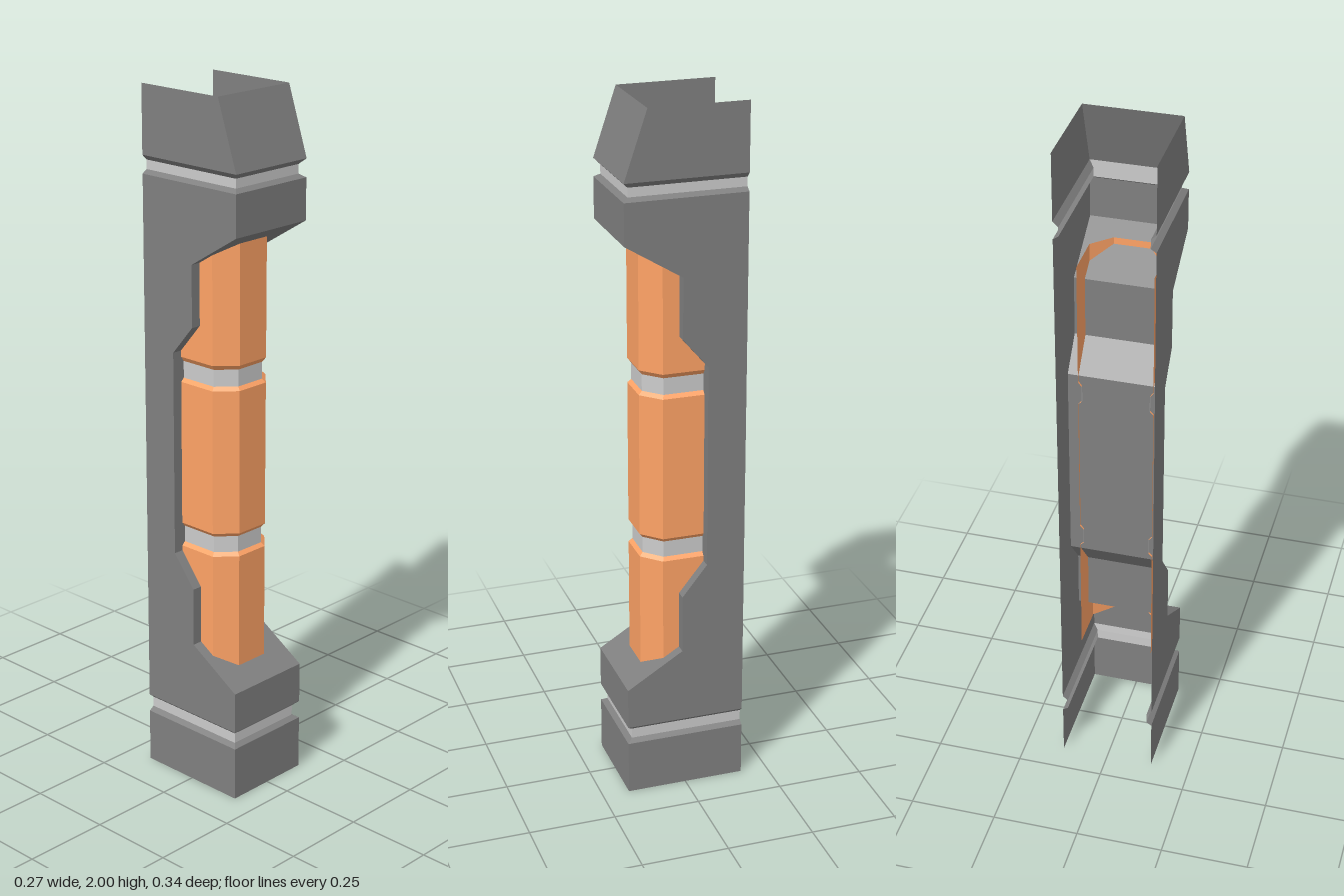
import * as THREE from 'three';

const material = (color) =>
  new THREE.MeshStandardMaterial({ color, flatShading: true, side: THREE.DoubleSide });

// Joins open cross-sections (arrays of [x, z], left to right round the front)
// stacked at the given heights into a faceted skin.
function skin(name, rows, mat) {
  const pos = [];
  for (let i = 0; i < rows.length - 1; i++) {
    const low = rows[i], high = rows[i + 1];
    for (let j = 0; j < low.pts.length - 1; j++) {
      const at = (row, k) => [row.pts[k][0], row.y, row.pts[k][1]];
      const a = at(low, j), b = at(low, j + 1), c = at(high, j + 1), d = at(high, j);
      pos.push(...a, ...b, ...c, ...a, ...c, ...d);
    }
  }
  const geo = new THREE.BufferGeometry();
  geo.setAttribute('position', new THREE.Float32BufferAttribute(pos, 3));
  geo.computeVertexNormals();
  const mesh = new THREE.Mesh(geo, mat);
  mesh.name = name;
  return mesh;
}

// U-shaped section of the housing: two side walls and a front, open at the back
const BACK = -0.172;
const housingRow = ([y, z, w = 0.135]) => ({
  y, pts: [[-w, BACK], [-w, z], [w, z], [w, BACK]],
});

// Half-octagon section of the core, open at the back
const coreRow = ([y, inset = 0]) => {
  const w = 0.105 - inset, c = 0.052 - inset * 0.5, f = 0.108 - inset, s = 0.057 - inset * 0.5;
  return { y, pts: [[-w, -0.068], [-w, s], [-c, f], [c, f], [w, s], [w, -0.068]] };
};

export function createModel() {
  const group = new THREE.Group();
  group.name = 'wallColumn';
  const dark = material(0x808080);
  const light = material(0xcccccc);
  const orange = material(0xffa366);

  // Housing: [height, front z, half width]
  const F = 0.172, G = 0.157, W = 0.12;
  const housing = {
    bottomCap: [[0, F], [0.157, F], [0.167, G, W]],
    middleShell: [
      [0.197, G, W], [0.21, F], [0.33, F], [0.43, 0.01], [0.6, 0.01], [0.69, -0.062],
      [1.28, -0.062], [1.365, 0.01], [1.54, 0.01], [1.64, F], [1.757, F], [1.767, G, W],
    ],
    topCap: [[1.793, G, W], [1.808, F], [2, 0.107]],
  };
  for (const [name, rows] of Object.entries(housing)) {
    group.add(skin(name, rows.map(housingRow), dark));
  }

  // Light bands at the bottom of the housing grooves
  for (const [name, y0, y1] of [['lowerBand', 0.167, 0.197], ['upperBand', 1.767, 1.793]]) {
    group.add(skin(name, [[y0, G, W], [y1, G, W]].map(housingRow), light));
  }

  // Core segments with bevelled ends: [height, inset]
  const I = 0.01;
  const core = {
    lowerCore: [[0.345], [0.705], [0.715, I]],
    middleCore: [[0.762, I], [0.774], [1.19], [1.2, I]],
    upperCore: [[1.248, I], [1.262], [1.62]],
  };
  for (const [name, rows] of Object.entries(core)) {
    group.add(skin(name, rows.map(coreRow), orange));
  }

  // Light rings between the core segments
  for (const [name, y0, y1] of [['lowerCoreRing', 0.715, 0.762], ['upperCoreRing', 1.2, 1.248]]) {
    group.add(skin(name, [[y0, I], [y1, I]].map(coreRow), light));
  }

  return group;
}
